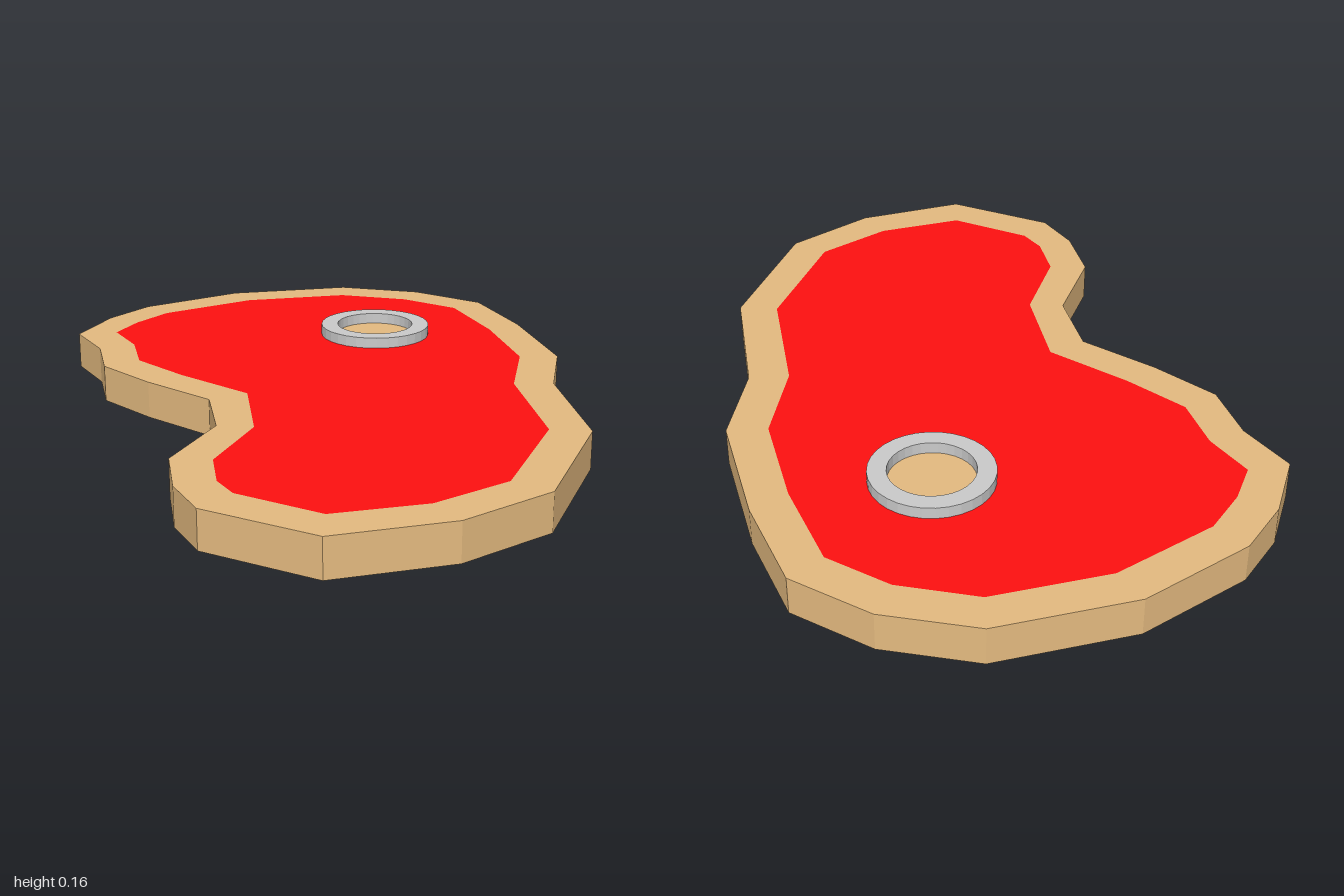
import * as THREE from 'three';

const BOTTOM = 0.025, TOP = 0.125, SEGMENTS = 32;
const BONE = { x: 0.205, z: -0.445, inner: 0.11, outer: 0.158, height: 0.155 };

// Outlines of the slab seen from above, as [x, z] corners
const fatEdge = [
  [-0.13, -1], [0.23, -1], [0.45, -0.89], [0.61, -0.72], [0.65, -0.45], [0.655, -0.105],
  [0.56, 0.13], [0.525, 0.51], [0.3, 0.865], [0.055, 0.98], [-0.25, 1], [-0.485, 0.795],
  [-0.52, 0.655], [-0.51, 0.48], [-0.37, 0.275], [-0.36, 0.07], [-0.5, -0.11], [-0.605, -0.28],
  [-0.605, -0.455], [-0.655, -0.62], [-0.55, -0.78], [-0.425, -0.89],
];
const meatEdge = [
  [-0.1, -0.9], [0.205, -0.9], [0.39, -0.805], [0.515, -0.67], [0.55, -0.41], [0.55, -0.125],
  [0.455, 0.11], [0.425, 0.475], [0.225, 0.785], [0.02, 0.875], [-0.22, 0.885], [-0.395, 0.725],
  [-0.42, 0.645], [-0.41, 0.51], [-0.28, 0.305], [-0.255, 0.04], [-0.405, -0.155], [-0.505, -0.315],
  [-0.505, -0.475], [-0.545, -0.615], [-0.475, -0.71], [-0.375, -0.8],
];

function circle(radius) {
  return Array.from({ length: SEGMENTS }, (_, i) => {
    const a = (i / SEGMENTS) * Math.PI * 2;
    return [BONE.x + Math.sin(a) * radius, BONE.z + Math.cos(a) * radius];
  });
}

// Flat face: side 1 looks up from the top, side -1 looks down from the bottom
function face(outline, hole, side) {
  const flat = (pts) => pts.map(([x, z]) => new THREE.Vector2(x, -side * z));
  const shape = new THREE.Shape(flat(outline));
  if (hole) shape.holes.push(new THREE.Path(flat(hole)));
  return new THREE.ShapeGeometry(shape)
    .rotateX(-side * Math.PI / 2)
    .translate(0, side > 0 ? TOP : BOTTOM, 0);
}

// Fat border: a U-shaped section (bottom, side, top) carried around the outline
function borderGeometry() {
  const positions = [], index = [], n = fatEdge.length;
  for (let i = 0; i < n; i++) {
    const [ox, oz] = fatEdge[i], [ix, iz] = meatEdge[i];
    positions.push(ix, BOTTOM, iz, ox, BOTTOM, oz, ox, TOP, oz, ix, TOP, iz);
    for (let k = 0; k < 3; k++) {
      const a = i * 4 + k, c = ((i + 1) % n) * 4 + k;
      index.push(a, a + 1, c, a + 1, c + 1, c);
    }
  }
  const geometry = new THREE.BufferGeometry();
  geometry.setAttribute('position', new THREE.Float32BufferAttribute(positions, 3));
  geometry.setIndex(index);
  geometry.computeVertexNormals();
  return geometry;
}

export function createModel() {
  const model = new THREE.Group();
  model.name = 'steak';
  const material = (color) => new THREE.MeshStandardMaterial({ color, flatShading: true });
  const fat = material(0xe5bb80), meat = material(0xff1010), bone = material(0xcccccc);

  const add = (name, geometry, mat, parent = model) => {
    const mesh = new THREE.Mesh(geometry, mat);
    mesh.name = name;
    parent.add(mesh);
    return mesh;
  };

  add('fatBorder', borderGeometry(), fat);

  // Meat faces and the marrow disc, flush with the border on both sides
  for (const [label, side] of [['Top', 1], ['Bottom', -1]]) {
    add('meat' + label, face(meatEdge, circle(BONE.outer), side), meat);
    add('marrow' + label, face(circle(BONE.inner), null, side), fat);
  }

  // Bone ring standing proud of both faces
  const { inner, outer, height } = BONE;
  const section = [[inner, 0], [outer, 0], [outer, height], [inner, height], [inner, 0]]
    .map(([r, y]) => new THREE.Vector2(r, y));
  add('boneRing', new THREE.LatheGeometry(section, SEGMENTS), bone).position.set(BONE.x, 0, BONE.z);

  return model;
}
